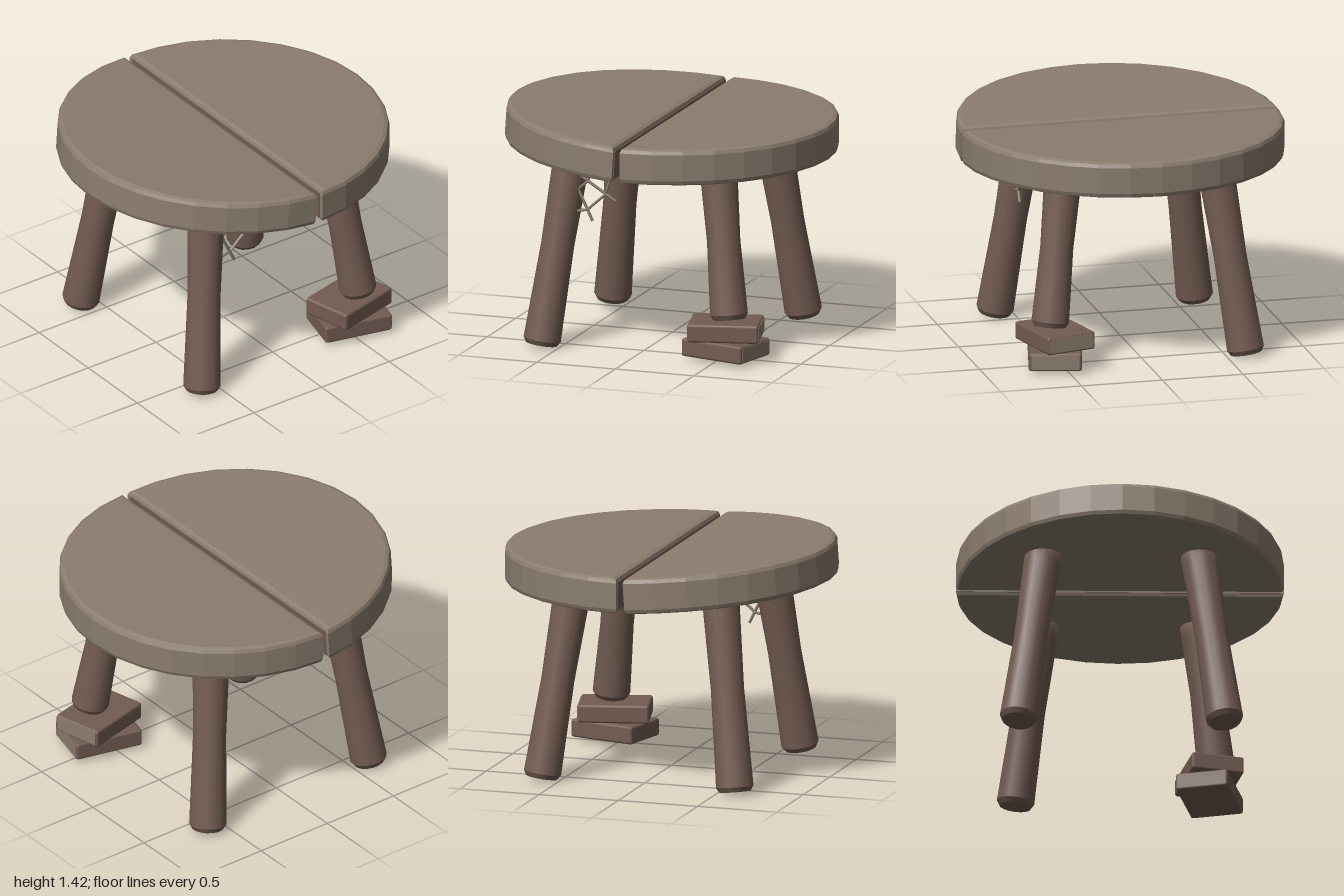
import * as THREE from 'three';
import { RoundedBoxGeometry } from 'three/addons/geometries/RoundedBoxGeometry.js';

const mat = (name, color) => {
  const m = new THREE.MeshStandardMaterial({ color });
  m.name = name;
  return m;
};

export function createModel() {
  const model = new THREE.Group();
  const topWood = mat('top wood', 0x8b7d6f);
  const darkWood = mat('dark wood', 0x735c52);
  const V = (x, y, z) => new THREE.Vector3(x, y, z);

  const add = (parent, name, geo, material) => {
    const mesh = new THREE.Mesh(geo, material);
    mesh.name = name;
    parent.add(mesh);
    return mesh;
  };

  // Lay a y-axis geometry, whose base is at the origin, along start -> end
  const aim = (mesh, start, end) => {
    mesh.position.copy(start);
    mesh.quaternion.setFromUnitVectors(V(0, 1, 0), end.clone().sub(start).normalize());
  };

  // Half-round slab with bevelled rim, straight cut on its x = 0 side
  const bevel = 0.03, r = 0.98 - bevel, thick = 0.22;
  const outline = [new THREE.Vector2(bevel, -r)];
  for (let i = -7; i <= 7; i++) {
    const a = (i * Math.PI) / 16;
    outline.push(new THREE.Vector2(r * Math.cos(a), r * Math.sin(a)));
  }
  outline.push(new THREE.Vector2(bevel, r));
  const slabGeo = new THREE.ExtrudeGeometry(new THREE.Shape(outline), {
    depth: thick - 2 * bevel, bevelEnabled: true, bevelSize: bevel,
    bevelThickness: bevel, bevelSegments: 2,
  });
  slabGeo.translate(0, 0, bevel - thick / 2).rotateX(-Math.PI / 2);

  const halfTop = (name, x, turn, tilt) => {
    const half = new THREE.Group();
    half.name = name;
    half.position.set(x, 1.25, 0);
    half.rotation.set(0, turn, tilt, 'ZYX');
    add(half, name + 'Slab', slabGeo, topWood);
    // exposed wood of the split
    add(half, name + 'CutFace', new THREE.BoxGeometry(0.004, thick - 0.05, 1.91), darkWood);
    model.add(half);
  };
  halfTop('leftTop', 0.018, 0, 0);
  halfTop('rightTop', -0.024, Math.PI, -0.068);

  // Splayed legs, slightly waisted, with chamfered feet
  const leg = (name, start, end) => {
    const len = start.distanceTo(end);
    const profile = [
      [0, 0], [0.095, 0], [0.113, 0.03], [0.11, 0.15], [0.1, len * 0.5],
      [0.111, len - 0.12], [0.111, len], [0, len],
    ].map(([x, y]) => new THREE.Vector2(x, y));
    // split the profile at the hard edges
    const g = new THREE.Group();
    g.name = name;
    add(g, name + 'Foot', new THREE.LatheGeometry(profile.slice(0, 2), 16), darkWood);
    add(g, name + 'Chamfer', new THREE.LatheGeometry(profile.slice(1, 3), 16), darkWood);
    add(g, name + 'Shaft', new THREE.LatheGeometry(profile.slice(2), 16), darkWood);
    aim(g, start, end);
    model.add(g);
  };
  leg('frontRightLeg', V(-0.61, 0.022, 0.62), V(-0.46, 1.23, 0.46));
  leg('backRightLeg', V(-0.61, 0.022, -0.62), V(-0.46, 1.23, -0.46));
  leg('backLeftLeg', V(0.61, 0.022, -0.62), V(0.46, 1.2, -0.46));
  leg('frontLeftLeg', V(0.575, 0.265, 0.585), V(0.46, 1.2, 0.47)); // broken short

  // Two stacked blocks propping the short leg, with a pale end
  [['lowerBlock', 0.083, -0.24], ['upperBlock', 0.195, 0.24]].forEach(([name, y, turn]) => {
    const block = new THREE.Group();
    block.name = name;
    block.position.set(0.535, y, 0.543);
    block.rotation.y = turn;
    add(block, name + 'Body', new RoundedBoxGeometry(0.43, 0.11, 0.32, 1, 0.015), darkWood);
    const end = add(block, name + 'End', new THREE.BoxGeometry(0.006, 0.085, 0.29), topWood);
    end.position.x = 0.215;
    model.add(block);
  });

  // Cobweb between a leg and the top
  const web = new THREE.Group();
  web.name = 'cobweb';
  web.position.set(-0.47, 1.11, 0.54);
  model.add(web);
  const strand = (name, a, b, material = topWood) => {
    const len = a.distanceTo(b);
    const geo = new THREE.CylinderGeometry(0.009, 0.009, len, 6).translate(0, len / 2, 0);
    aim(add(web, name, geo, material), a, b);
  };
  const polar = (radius, angle) => V(radius * Math.cos(angle), radius * Math.sin(angle), 0);
  const spokes = [0, -0.56, -1.12, -1.6];
  spokes.slice(0, 3).forEach((a, i) =>
    strand('webSpoke', V(0, 0, 0), polar(0.36, a), i === 0 ? darkWood : topWood));
  for (const radius of [0.15, 0.285])
    for (let i = 0; i < 3; i++)
      strand('webCross', polar(radius, spokes[i]), polar(radius, spokes[i + 1]));

  return model;
}
